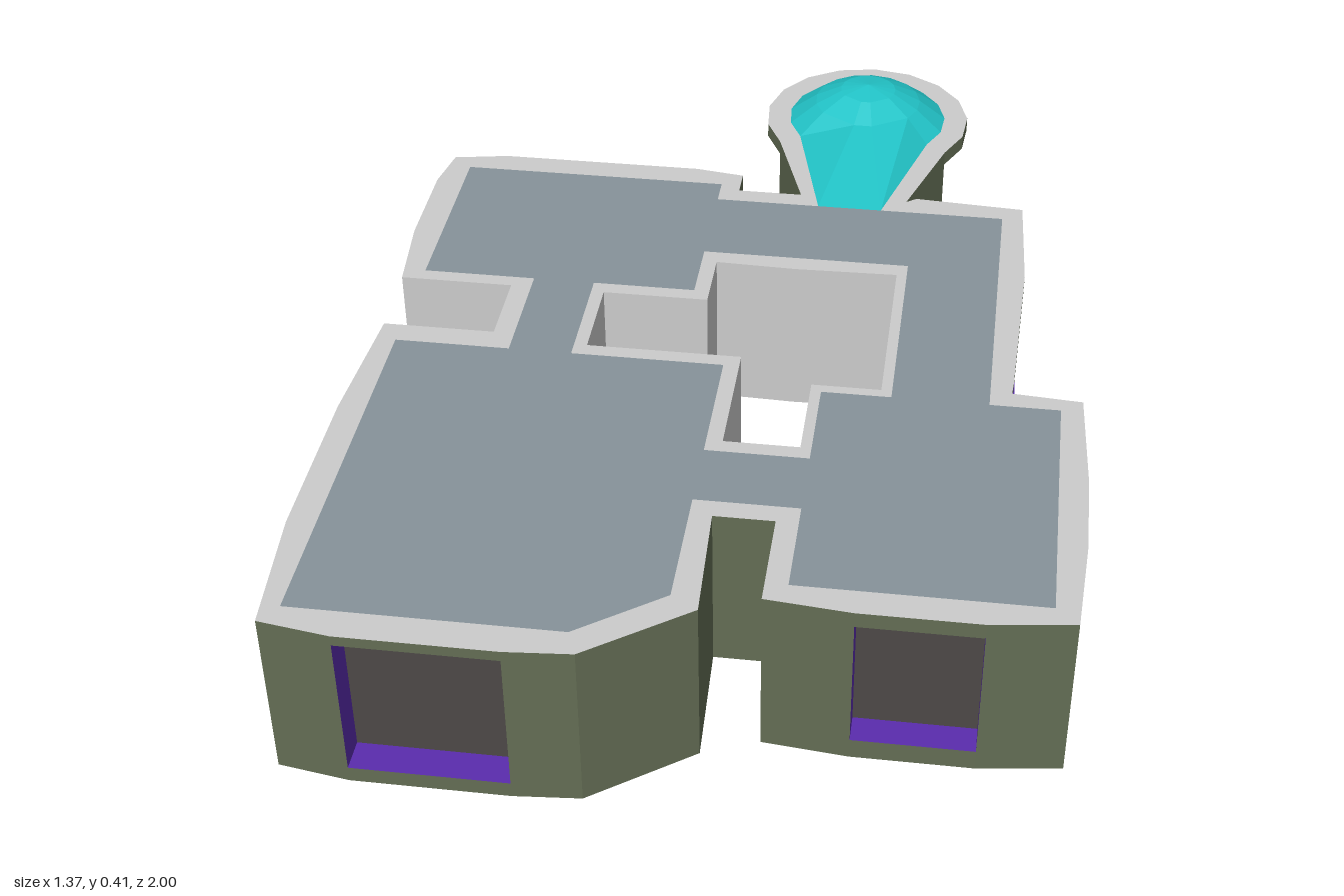
import * as THREE from 'three';

const H = 0.33; // wall height
const POD = { x: 0.19, z: -0.78, outer: 0.22, inner: 0.17 };
const COLORS = {
  outerCladding: 0x636d54, plainWall: 0xcccccc, wallRim: 0xcccccc, innerWall: 0x788790,
  courtyardLining: 0x84878b, podLining: 0x22c4c8, windowFrame: 0x5a2cad,
};

// Window heights [sill, head]
const W1 = [0.03, 0.31], W2 = [0.04, 0.30], W3 = [0.05, 0.285], W4 = [0.045, 0.29], WP = [0.037, 0.30];
const G = 'plainWall', O = 'outerCladding';

// Each point: outer x, z, inner x, z, outer finish and window of the wall that starts there
const beforePod = [
  [-0.66, 0.98, -0.63, 0.94, O], [-0.53, 1.0, -0.53, 0.94, O, W1], [-0.25, 1.0, -0.25, 0.94, O],
  [-0.13, 0.99, -0.15, 0.94, O], [0.05, 0.86, 0, 0.83, O], [0.04, 0.62, 0, 0.58, O],
  [0.15, 0.62, 0.19, 0.58, O], [0.15, 0.82, 0.19, 0.78, O], [0.305, 0.835, 0.305, 0.78, O, W2],
  [0.52, 0.835, 0.52, 0.78, O], [0.67, 0.815, 0.63, 0.78, G], [0.682, 0.62, 0.63, 0.62, G],
  [0.682, 0.44, 0.63, 0.44, O], [0.67, 0.21, 0.63, 0.24, O], [0.54, 0.20, 0.5, 0.24, O],
  [0.542, 0.17, 0.5, 0.17, O, W3], [0.552, -0.19, 0.5, -0.19, O, W3], [0.543, -0.38, 0.5, -0.34, O],
  [0.54, -0.44, 0.5, -0.40, O], [0.32, -0.455, 0.28, -0.40, O],
];
const afterPod = [
  [-0.05, -0.44, -0.09, -0.40, O], [-0.05, -0.50, -0.09, -0.46, O], [-0.15, -0.515, -0.15, -0.46, O],
  [-0.23, -0.515, -0.23, -0.46, O, W4], [-0.52, -0.515, -0.52, -0.46, O], [-0.56, -0.515, -0.56, -0.46, O],
  [-0.67, -0.495, -0.63, -0.46, G], [-0.687, -0.40, -0.63, -0.36, G], [-0.687, -0.20, -0.63, -0.20, G],
  [-0.67, -0.03, -0.63, -0.06, G], [-0.45, -0.03, -0.41, -0.06, G], [-0.45, 0.13, -0.41, 0.18, G],
  [-0.665, 0.13, -0.63, 0.18, G], [-0.682, 0.40, -0.63, 0.40, G], [-0.682, 0.73, -0.63, 0.73, G],
];
const courtyard = [
  [-0.265, -0.03, -0.29, -0.06], [-0.06, -0.03, -0.09, -0.06], [-0.06, -0.165, -0.09, -0.20],
  [0.10, -0.16, 0.10, -0.20], [0.30, -0.165, 0.32, -0.20], [0.30, 0.22, 0.32, 0.24],
  [0.17, 0.22, 0.19, 0.24], [0.17, 0.41, 0.19, 0.44], [0.03, 0.41, 0, 0.44],
  [0.03, 0.15, 0, 0.18], [-0.265, 0.15, -0.29, 0.18],
].map((p) => [...p, G, null, 'courtyardLining']);

// Round pod on a tapering neck, glazed all the way round its arc
function podPoints() {
  const pts = [[0.30, -0.44, 0.25, -0.40, O, null, 'podLining']];
  const n = 12, start = 36, sweep = 252;
  for (let i = 0; i <= n; i++) {
    const a = THREE.MathUtils.degToRad(start - (sweep * i) / n);
    const c = Math.cos(a), s = Math.sin(a);
    pts.push([POD.x + POD.outer * c, POD.z + POD.outer * s, POD.x + POD.inner * c, POD.z + POD.inner * s,
      O, i < n ? WP : null, 'podLining']);
  }
  pts.push([0.08, -0.44, 0.12, -0.40, O]);
  return pts;
}

function meshFrom(name, positions, color) {
  const geo = new THREE.BufferGeometry();
  geo.setAttribute('position', new THREE.Float32BufferAttribute(positions, 3));
  geo.computeVertexNormals();
  const mesh = new THREE.Mesh(geo, new THREE.MeshStandardMaterial({ color, side: THREE.DoubleSide }));
  mesh.name = name;
  return mesh;
}

// Closed ring of walls with rims and framed openings, sorted by finish
function addWalls(points, buckets) {
  const quad = (key, a, b, c, d) => (buckets[key] ??= []).push(...a, ...b, ...c, ...a, ...c, ...d);
  const n = points.length;
  points.forEach((p, i) => {
    const q = points[(i + 1) % n], prev = points[(i + n - 1) % n];
    const [, , , , finish, win, lining = 'innerWall'] = p;
    const oA = (y) => [p[0], y, p[1]], iA = (y) => [p[2], y, p[3]];
    const oB = (y) => [q[0], y, q[1]], iB = (y) => [q[2], y, q[3]];
    const bands = win ? [[0, win[0]], [win[1], H]] : [[0, H]];
    for (const [lo, hi] of bands) {
      quad(finish, oA(lo), oB(lo), oB(hi), oA(hi));
      quad(lining, iB(lo), iA(lo), iA(hi), iB(hi));
    }
    quad('wallRim', oA(H), oB(H), iB(H), iA(H));
    quad('wallRim', oB(0), oA(0), iA(0), iB(0));
    if (!win) return;
    const [s, t] = win;
    quad('windowFrame', oA(s), oB(s), iB(s), iA(s));
    quad('windowFrame', oB(t), oA(t), iA(t), iB(t));
    if (!prev[5]) quad('windowFrame', oA(s), iA(s), iA(t), oA(t));
    if (!q[5]) quad('windowFrame', iB(s), oB(s), oB(t), iB(t));
  });
}

// Flat slab surface bounded by the inner wall line
function slab(name, outline, holes, y, color) {
  const toV = (p) => new THREE.Vector2(p[2], -p[3]);
  const shape = new THREE.Shape(outline.map(toV));
  holes.forEach((h) => shape.holes.push(new THREE.Path(h.map(toV))));
  const geo = new THREE.ShapeGeometry(shape);
  geo.rotateX(-Math.PI / 2);
  geo.translate(0, y, 0);
  const mesh = new THREE.Mesh(geo, new THREE.MeshStandardMaterial({ color, side: THREE.DoubleSide }));
  mesh.name = name;
  return mesh;
}

// Faceted dome that runs down into the neck
function podDome(outline) {
  const ring = (f, y) => outline.map((p) => {
    const dx = p[2] - POD.x, dz = p[3] - POD.z, d = Math.hypot(dx, dz);
    const k = f === 1 ? 1 : (f * Math.min(d, POD.inner)) / d;
    return [POD.x + dx * k, y, POD.z + dz * k];
  });
  const rings = [ring(1, H), ring(0.67, 0.373), ring(0.35, 0.401), ring(0, 0.412)];
  const pos = [], n = outline.length;
  for (let r = 0; r < rings.length - 1; r++) {
    const lo = rings[r], hi = rings[r + 1];
    for (let i = 0; i < n; i++) {
      const j = (i + 1) % n;
      pos.push(...lo[i], ...lo[j], ...hi[j]);
      if (r < rings.length - 2) pos.push(...lo[i], ...hi[j], ...hi[i]);
    }
  }
  return meshFrom('podDome', pos, 0x22c4c8);
}

export function createModel() {
  const group = new THREE.Group();
  group.name = 'house';
  const pod = podPoints();
  const buckets = {};
  addWalls([...beforePod, ...pod, ...afterPod], buckets);
  addWalls(courtyard, buckets);
  for (const [key, pos] of Object.entries(buckets)) group.add(meshFrom(key, pos, COLORS[key]));

  // Ceilings and floors
  const rooms = [...beforePod, pod[0], pod[pod.length - 1], ...afterPod];
  group.add(slab('ceiling', rooms, [courtyard], H, 0x87939a));
  group.add(slab('floor', rooms, [courtyard], 0, 0x45413f));
  group.add(slab('podFloor', pod, [], 0, 0x0e4a4a));
  group.add(podDome(pod));
  return group;
}
